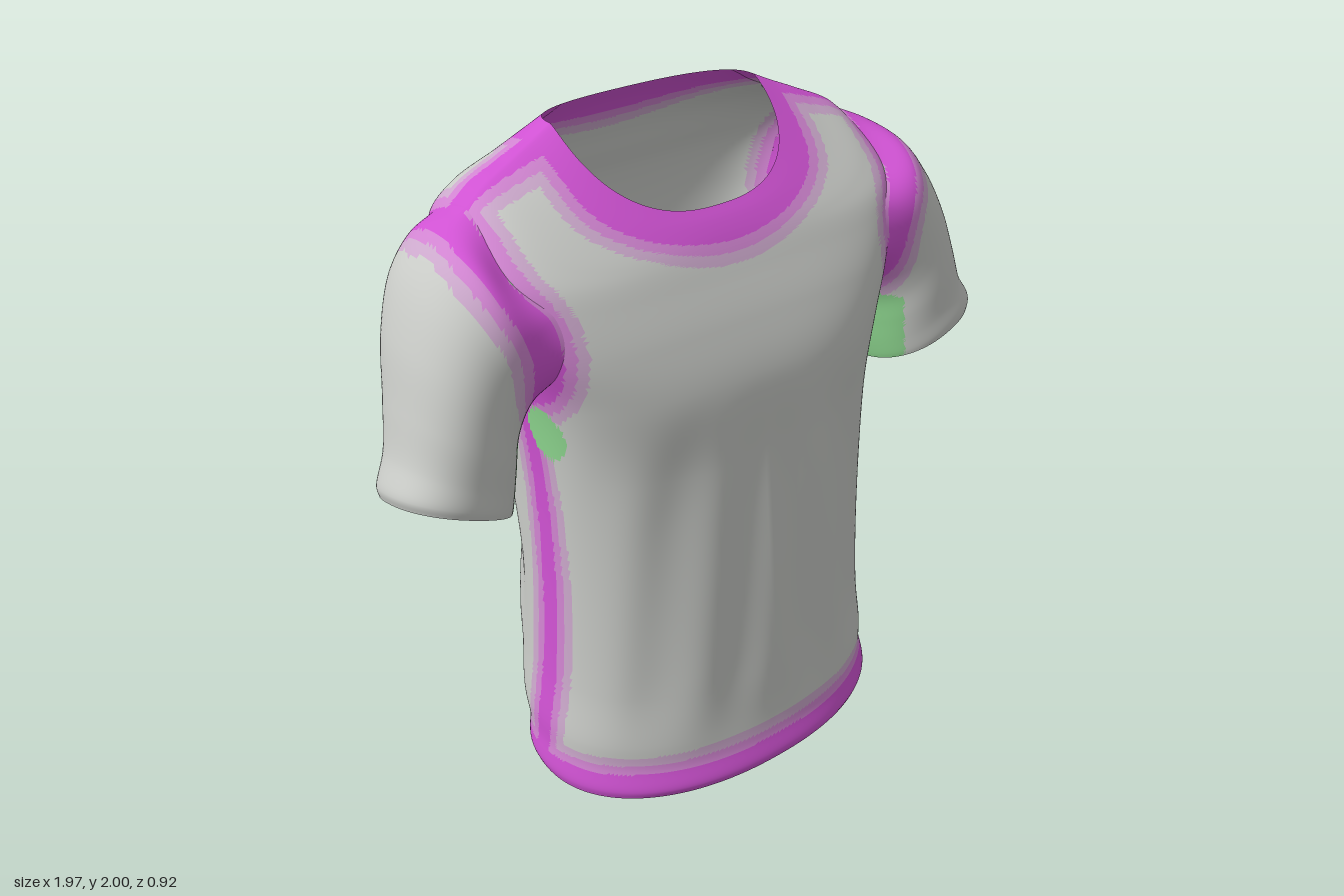
import * as THREE from 'three';

const mat = (name, color) =>
  new THREE.MeshStandardMaterial({ name, color, side: THREE.DoubleSide });

// Torso rings from hem to neck:
// half width, front z, side z, back z, front y, side y, back y, squareness
const TORSO = [
  [0.585, 0.45, 0.04, -0.325, 0.085, 0.045, 0.0, 2.2],
  [0.592, 0.458, 0.03, -0.338, 0.11, 0.075, 0.035, 2.2],
  [0.582, 0.435, 0.02, -0.34, 0.18, 0.16, 0.12, 2.2],
  [0.578, 0.42, 0.01, -0.375, 0.26, 0.24, 0.22, 2.3],
  [0.555, 0.405, 0.0, -0.4, 0.42, 0.42, 0.38, 2.3],
  [0.53, 0.38, 0.0, -0.43, 0.8, 0.8, 0.8, 2.4],
  [0.53, 0.352, -0.01, -0.432, 1.15, 1.15, 1.15, 2.7],
  [0.555, 0.335, -0.05, -0.45, 1.38, 1.38, 1.38, 3.3],
  [0.605, 0.28, -0.08, -0.46, 1.53, 1.55, 1.57, 4.1],
  [0.64, 0.222, -0.09, -0.45, 1.64, 1.72, 1.69, 4.3],
  [0.645, 0.2, -0.1, -0.43, 1.68, 1.81, 1.76, 3.9],
  [0.583, 0.183, -0.115, -0.412, 1.708, 1.883, 1.825, 3.4],
  [0.47, 0.163, -0.135, -0.387, 1.737, 1.938, 1.885, 2.8],
  [0.39, 0.14, -0.15, -0.355, 1.765, 1.972, 1.938, 2.6],
  [0.33, 0.115, -0.16, -0.318, 1.79, 2.0, 1.985, 2.5],
];

// Sleeve rings from just outside the armhole to the cuff:
// top x, top y, bottom x, bottom y, middle z, half depth, forward lift
const SLEEVE = [
  [0.71, 1.808, 0.58, 1.355, -0.082, 0.277, 0],
  [0.795, 1.725, 0.6, 1.325, -0.07, 0.262, 0],
  [0.865, 1.59, 0.622, 1.28, -0.04, 0.237, 0.01],
  [0.91, 1.44, 0.64, 1.21, -0.003, 0.21, 0.025],
  [0.945, 1.32, 0.655, 1.14, 0.022, 0.19, 0.04],
  [0.985, 1.245, 0.667, 1.095, 0.038, 0.182, 0.05],
  [0.982, 1.215, 0.672, 1.08, 0.04, 0.178, 0.05],
];

// Armhole: an ellipse in torso ring position and angle around the body
const HOLE = { ring: 8.8, rise: 1.8, front: 0.78, back: 0.68 };

const step = THREE.MathUtils.smoothstep;

// Distance from the centre to a rounded square of the given squareness
const squircle = (c, s, n) => (Math.abs(c) ** n + Math.abs(s) ** n) ** (-1 / n);

function torsoPoint([a, zf, zs, zb, yf, ys, yb, n], angle) {
  const c = Math.cos(angle), s = Math.sin(angle);
  const r = squircle(c, s, n);
  const k = Math.min(1, Math.abs(s * r));
  const front = s > 0;
  return new THREE.Vector3(
    a * c * r,
    ys + ((front ? yf : yb) - ys) * k ** (front ? 1.2 : 1.6),
    zs + ((front ? zf : zb) - zs) * k);
}

const torsoCurve = angle =>
  new THREE.CatmullRomCurve3(TORSO.map(ring => torsoPoint(ring, angle)));

function armholePoint(angle) {
  const s = -Math.sin(angle);
  const ring = HOLE.ring + HOLE.rise * Math.cos(angle);
  return torsoCurve(s * (s > 0 ? HOLE.front : HOLE.back)).getPoint(ring / (TORSO.length - 1));
}

function sleevePoint([tx, ty, bx, by, z, d, lift], angle, inset) {
  const r = inset * squircle(Math.cos(angle), Math.sin(angle), 2.3);
  const c = Math.cos(angle) * r, s = -Math.sin(angle) * r;
  return new THREE.Vector3(
    (tx + bx) / 2 + (tx - bx) / 2 * c,
    (ty + by) / 2 + (ty - by) / 2 * c + lift * s,
    z + d * s);
}

// Runs from the armhole edge to the cuff; inset narrows all but the cuff ring
const sleeveCurve = (side, inset) => angle => {
  const pts = SLEEVE.map((ring, i) =>
    sleevePoint(ring, angle, i < SLEEVE.length - 1 ? inset : 1));
  pts.unshift(armholePoint(angle));
  pts.forEach(p => { p.x *= side; });
  return new THREE.CatmullRomCurve3(pts);
};

// Soft cloth folds on the lower front, back and back corners
function drape(p) {
  const w = step(p.y, 0.16, 0.5) * (1 - step(p.y, 1.0, 1.4)) * step(Math.abs(p.z), 0.1, 0.3);
  const x = Math.abs(p.x);
  if (p.z > 0) {
    p.z += 0.007 * w * Math.sin(26 * x + 3 * p.y);
  } else {
    p.x += Math.sign(p.x) * 0.012 * w * step(x, 0.2, 0.4) * Math.sin(13 * p.y + 22 * p.z);
    p.z += 0.014 * w * Math.sin(17 * x + 8 * p.y) * step(x, 0.05, 0.3);
  }
  const bunch = step(p.y, 0.12, 0.22) * (1 - step(p.y, 0.35, 0.55)) * step(-p.z, 0.15, 0.3);
  p.z += 0.008 * bunch * Math.sin(30 * p.y + 8 * p.x);
}

// Sweeps smooth meridians round a tube; colourOf picks a material index, or -1 for a hole
function loft(curveAt, around, rows, flip, colourOf, shape) {
  const pts = [], ends = [];
  for (let i = 0; i < around; i++) {
    const curve = curveAt((i / around) * Math.PI * 2);
    for (let j = 0; j < rows; j++) {
      const p = curve.getPoint(j / (rows - 1));
      if (shape) shape(p);
      pts.push(p);
    }
    ends.push(pts[pts.length - 1]);
  }
  const buckets = [[], [], [], [], []];
  const mid = new THREE.Vector3();
  for (let i = 0; i < around; i++) {
    for (let j = 0; j < rows - 1; j++) {
      const a = i * rows + j, b = ((i + 1) % around) * rows + j;
      const angle = ((i + 0.5) / around) * Math.PI * 2, t = (j + 0.5) / (rows - 1);
      for (const [u, v, w] of [[a, a + 1, b], [b, a + 1, b + 1]]) {
        mid.copy(pts[u]).add(pts[v]).add(pts[w]).divideScalar(3);
        const m = colourOf(mid, ends[i], angle, t);
        if (m >= 0) buckets[m].push(...(flip ? [u, w, v] : [u, v, w]));
      }
    }
  }
  const geo = new THREE.BufferGeometry().setFromPoints(pts);
  geo.setIndex(buckets.flat());
  let start = 0;
  buckets.forEach((b, m) => {
    if (b.length) geo.addGroup(start, b.length, m);
    start += b.length;
  });
  geo.computeVertexNormals();
  return geo;
}

// Bands around a seam: 1 strong, 2 medium, 3 pale, 0 plain cloth
const band = d => (d < 0 ? 1 : d < 0.03 ? 2 : d < 0.06 ? 3 : 0);

// Sleeve seam: a loop just outside the armhole edge
const SEAM = Array.from({ length: 72 }, (_, i) =>
  sleeveCurve(1, 1)((i / 72) * Math.PI * 2).getPoint(0.5 / SLEEVE.length));

function armholeSeam(p) {
  if (p.y < 1.2 || Math.abs(p.x) < 0.4) return 1;
  const q = new THREE.Vector3(Math.abs(p.x), p.y, p.z);
  return Math.sqrt(Math.min(...SEAM.map(s => s.distanceToSquared(q)))) - 0.042;
}

function torsoColour(p, neck, angle, t) {
  const x = Math.abs(p.x);
  // opening into the sleeve
  const turn = Math.asin(Math.sin(angle)) / (Math.sin(angle) > 0 ? HOLE.front : HOLE.back);
  if (Math.hypot(turn, (t * (TORSO.length - 1) - HOLE.ring) / HOLE.rise) < 0.94) return -1;
  // underarm patch
  if (x > 0.45 && Math.hypot(p.y - 1.262, p.z - 0.065) < 0.077) return 4;
  const collar = 0.07 + 0.03 * step(Math.abs(p.z + 0.1), 0.03, 0.2);
  let d = Math.min(p.y - 0.125 - 0.1 * p.z, p.distanceTo(neck) - collar, armholeSeam(p));
  if (x > 0.4 && p.y < 1.4) {
    const centre = 0.03 - 0.1 * (p.y - 0.55) ** 2;
    d = Math.min(d, Math.abs(p.z - centre) - 0.033);
  }
  if (x > 0.3 && p.y > 1.65) d = Math.min(d, Math.abs(p.z + 0.145) - 0.042);
  return band(d);
}

function sleeveColour(p) {
  // underarm patch on the side facing the body
  if (p.y < 1.335 && Math.abs(p.x) < 0.7 && Math.abs(p.z - 0.01) < 0.15) return 4;
  // shoulder seam runs just past the armhole
  const shoulder = Math.hypot(p.z + 0.145, Math.max(0, Math.abs(p.x) - 0.66)) - 0.042;
  return band(p.y > 1.65 ? Math.min(armholeSeam(p), shoulder) : armholeSeam(p));
}

export function createModel() {
  const shirt = new THREE.Group();
  shirt.name = 'shirt';
  const materials = [
    mat('grey cloth', 0xc8cac6),
    mat('strong magenta', 0xcf52d2),
    mat('medium magenta', 0xd084d0),
    mat('pale magenta', 0xcba8cb),
    mat('green lining', 0x8fd890),
  ];
  const add = (name, geo) => {
    const mesh = new THREE.Mesh(geo, materials);
    mesh.name = name;
    shirt.add(mesh);
  };

  add('torso', loft(torsoCurve, 240, 155, false, torsoColour, drape));

  for (const [label, side] of [['left', 1], ['right', -1]]) {
    add(label + 'Sleeve',
      loft(sleeveCurve(side, 1), 96, 64, side < 0, sleeveColour));
    add(label + 'SleeveLining',
      loft(sleeveCurve(side, 0.955), 48, 30, side > 0, () => 4));
  }
  return shirt;
}
